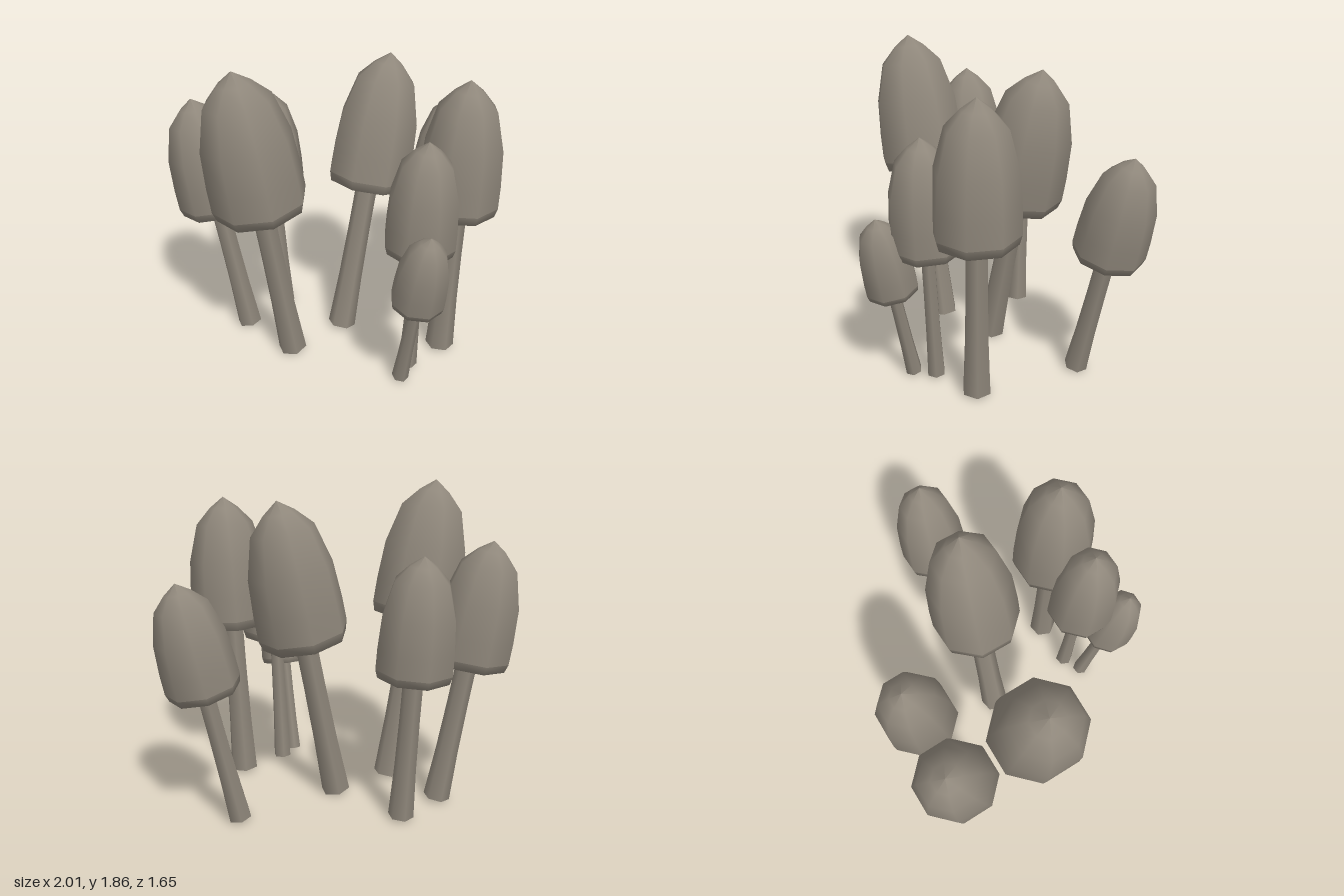
import * as THREE from 'three';

const skin = new THREE.MeshStandardMaterial({ color: 0x8f877b });
skin.name = 'mushroomSkin';
const gill = new THREE.MeshStandardMaterial({ color: 0x4a3f3d });
gill.name = 'darkGills';

// base point, cap tip, height of the cap rim, cap radius, stem radius
const mushrooms = [
  { base: [-0.41, 0.02, -0.015], tip: [-0.69, 1.86, 0.05], rim: 1.05, cap: 0.275, stem: 0.088 },
  { base: [-0.595, 0.02, -0.39], tip: [-0.83, 1.57, -0.47], rim: 0.88, cap: 0.235, stem: 0.078 },
  { base: [-0.31, 0.02, -0.555], tip: [-0.365, 1.535, -0.635], rim: 0.88, cap: 0.22, stem: 0.074 },
  { base: [-0.03, 0.02, -0.145], tip: [0.325, 1.79, -0.23], rim: 1.0, cap: 0.26, stem: 0.088 },
  { base: [0.475, 0.02, 0.29], tip: [0.545, 1.76, 0.34], rim: 0.99, cap: 0.243, stem: 0.088 },
  { base: [0.2, 0.02, 0.4], tip: [0.235, 1.505, 0.49], rim: 0.85, cap: 0.21, stem: 0.056 },
  { base: [0.105, 0.02, 0.5], tip: [0.15, 1.07, 0.725], rim: 0.61, cap: 0.155, stem: 0.05 },
  { base: [0.59, 0.02, -0.35], tip: [0.885, 1.41, -0.41], rim: 0.81, cap: 0.205, stem: 0.07 },
];

// profile points are [radius, height], scaled to real size
function lathe(name, points, sides, rScale, yScale, material) {
  const pts = points.map(([r, y]) => new THREE.Vector2(r * rScale, y * yScale));
  const mesh = new THREE.Mesh(new THREE.LatheGeometry(pts, sides), material);
  mesh.name = name;
  return mesh;
}

function makeMushroom({ base, tip, rim, cap, stem }) {
  const g = new THREE.Group();
  g.name = 'mushroom';
  const from = new THREE.Vector3(...base);
  const axis = new THREE.Vector3(...tip).sub(from);
  const length = axis.length();
  const rimAt = length * (rim - base[1]) / (tip[1] - base[1]);
  const capHeight = length - rimAt;

  // tapering stem with a short foot, closed below
  g.add(lathe('stem', [[1, 0], [0.97, 0.06], [0.84, 0.35], [0.77, 0.7], [0.74, 1.25]], 6, stem, rimAt, skin));
  const foot = lathe('stemFoot', [[0, 0], [1, 0]], 6, stem, 1, skin);
  g.add(foot);

  // bell cap, its rolled lip and the hollow underside
  const bell = lathe('cap', [[1, 0.07], [0.99, 0.25], [0.93, 0.52], [0.69, 0.8], [0.34, 0.92], [0, 1]], 8, cap, capHeight, skin);
  const lip = lathe('capLip', [[0.87, 0.015], [0.94, 0], [1, 0.07]], 8, cap, capHeight, skin);
  const gills = lathe('gills', [[0, 0.5], [0.5, 0.42], [0.8, 0.16], [0.87, 0.015]], 8, cap, capHeight, gill);
  for (const part of [bell, lip, gills]) {
    part.position.y = rimAt;
    g.add(part);
  }

  g.position.copy(from);
  g.quaternion.setFromUnitVectors(new THREE.Vector3(0, 1, 0), axis.normalize());
  return g;
}

export function createModel() {
  const model = new THREE.Group();
  model.name = 'mushroomCluster';
  for (const m of mushrooms) model.add(makeMushroom(m));
  return model;
}
